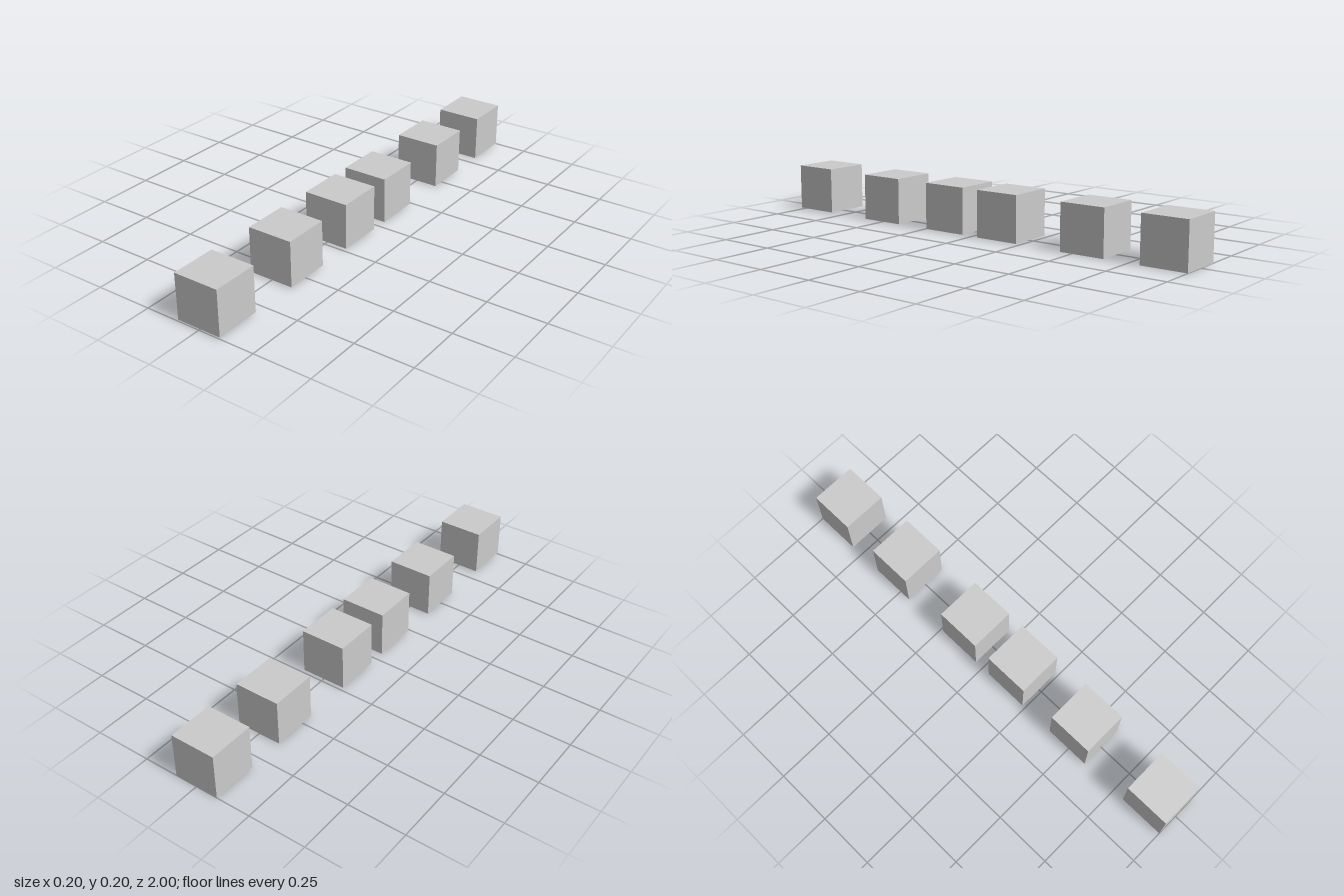
import * as THREE from 'three';

export function createModel() {
  const model = new THREE.Group();
  const size = 0.198;
  const material = new THREE.MeshStandardMaterial({ color: 0xcccccc, flatShading: true });
  const geometry = new THREE.BoxGeometry(size, size, size);

  // Row of equal cubes, front to back: [centre z, height of the underside]
  const cubes = [
    [0.901, 0.007], [0.492, 0.004], [0.137, 0.004],
    [-0.137, 0.003], [-0.546, 0.001], [-0.901, 0],
  ];
  cubes.forEach(([z, base], i) => {
    const cube = new THREE.Mesh(geometry, material);
    cube.name = `cube${i + 1}`;
    cube.position.set(0, base + size / 2, z);
    model.add(cube);
  });
  return model;
}
